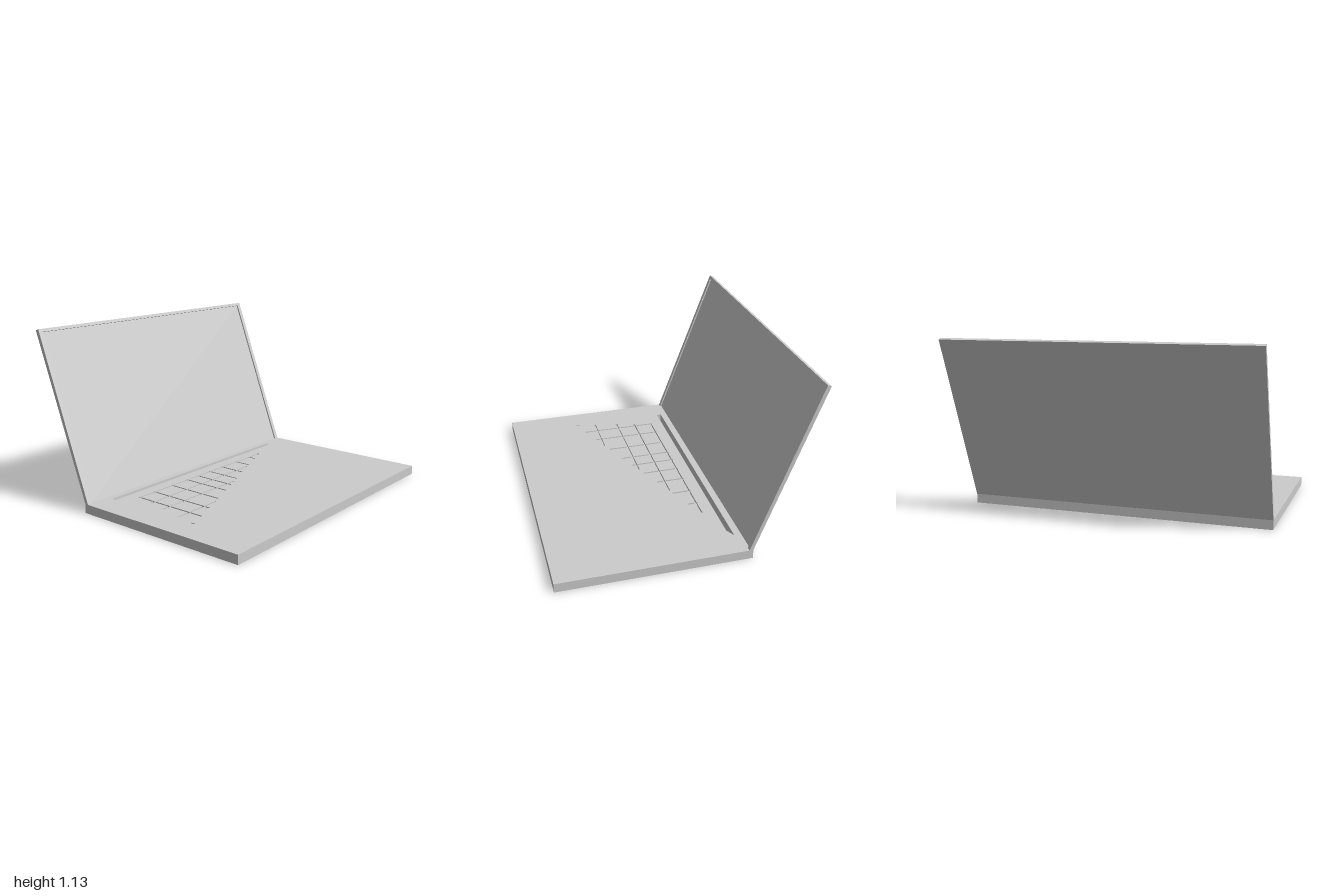
import * as THREE from 'three';

const material = new THREE.MeshStandardMaterial({ color: 0xcccccc, flatShading: true });
const H = 0.06; // base thickness

function part(name, geometry) {
  const mesh = new THREE.Mesh(geometry, material);
  mesh.name = name;
  return mesh;
}

// Collects four-cornered faces, corners counter-clockwise from outside
function quadBuilder() {
  const pos = [];
  return {
    quad(a, b, c, d) { pos.push(...a, ...b, ...c, ...a, ...c, ...d); },
    build() {
      const g = new THREE.BufferGeometry();
      g.setAttribute('position', new THREE.Float32BufferAttribute(pos, 3));
      g.computeVertexNormals();
      return g;
    },
  };
}

const rect = (x0, x1, z0, z1) => [[x0, z1], [x1, z1], [x1, z0], [x0, z0]];

// Flat plate in the x/z plane, facing up (+1) or down (-1)
function plate(outline, holes, y, facing) {
  const pts = (list) => list.map(([x, z]) => new THREE.Vector2(x, -z * facing));
  const shape = new THREE.Shape(pts(outline));
  holes.forEach((h) => shape.holes.push(new THREE.Path(pts(h))));
  return new THREE.ShapeGeometry(shape).rotateX(-facing * Math.PI / 2).translate(0, y, 0);
}

// Upright walls along a closed outline
function walls(b, outline) {
  outline.forEach(([x, z], i) => {
    const [u, w] = outline[(i + 1) % outline.length];
    b.quad([x, 0, z], [u, 0, w], [u, H, w], [x, H, z]);
  });
}

// Keyboard field: a stepped surface with thin crossing grooves
function keyboardField(x0, x1, z0, z1) {
  const w = 0.006, depth = 0.015;
  const columns = [[-0.235, -0.55, 0.705], [-0.107, -0.245, 0.73], [0.025, 0.07, 0.765], [0.19, 0.455, 0.8]];
  const rows = [[-0.535, -0.225], [-0.43, -0.18], [-0.28, -0.12], [-0.12, -0.055], [0.015, 0.005],
    [0.14, 0.06], [0.25, 0.105], [0.4, 0.165], [0.565, 0.235], [0.7, 0.29]];
  const grooves = [
    ...columns.map(([x, a, c]) => [x - w, x + w, a, c]),
    ...rows.map(([z, end]) => [-0.245, end, z - w, z + w]),
    [0.31, 0.34, 0.815, 0.825],
  ];
  const breaks = (list) => [...new Set(list)].sort((p, q) => p - q);
  const xs = breaks([x0, x1, ...grooves.flatMap((g) => [g[0], g[1]])]);
  const zs = breaks([z0, z1, ...grooves.flatMap((g) => [g[2], g[3]])]);
  const height = (i, j) => {
    const x = (xs[i] + xs[i + 1]) / 2, z = (zs[j] + zs[j + 1]) / 2;
    return grooves.some((g) => x > g[0] && x < g[1] && z > g[2] && z < g[3]) ? H - depth : H;
  };
  const b = quadBuilder();
  for (let i = 0; i < xs.length - 1; i++) {
    for (let j = 0; j < zs.length - 1; j++) {
      const [a, c, d, e] = [xs[i], xs[i + 1], zs[j], zs[j + 1]];
      const h = height(i, j);
      b.quad([a, h, e], [c, h, e], [c, h, d], [a, h, d]);
      if (i < xs.length - 2) {
        const k = height(i + 1, j);
        if (k !== h) b.quad([c, k, e], [c, k, d], [c, h, d], [c, h, e]);
      }
      if (j < zs.length - 2) {
        const k = height(i, j + 1);
        if (k !== h) b.quad([a, k, e], [c, k, e], [c, h, e], [a, h, e]);
      }
    }
  }
  return b.build();
}

// Leaning lid with a shallow screen recess open at the hinge
function lidAndScreen() {
  const backLow = [-0.415, H], frontLow = [-0.39, H];
  const backTop = [-0.812, 1.117], frontTop = [-0.788, 1.126];
  const rim = [-0.781, 1.107], floorTop = [-0.79, 1.1035], floorLow = [-0.4007, H];
  const Z = 1, S = 0.97;
  const at = ([x, y], z) => [x, y, z];
  const lid = quadBuilder(), screen = quadBuilder();
  // Strip between two profile points, from z = near to z = far
  const strip = (b, low, high, near, far) => b.quad(at(low, near), at(low, far), at(high, far), at(high, near));
  strip(lid, frontLow, frontTop, Z, S);
  strip(lid, frontLow, frontTop, -S, -Z);
  strip(lid, rim, frontTop, S, -S);
  strip(lid, floorTop, rim, S, -S);
  strip(lid, frontTop, backTop, Z, -Z);
  strip(lid, backTop, backLow, Z, -Z);
  // Outer ends and the inner ends of the recess
  lid.quad(at(backLow, Z), at(frontLow, Z), at(frontTop, Z), at(backTop, Z));
  lid.quad(at(frontLow, -Z), at(backLow, -Z), at(backTop, -Z), at(frontTop, -Z));
  lid.quad(at(floorLow, -S), at(frontLow, -S), at(rim, -S), at(floorTop, -S));
  lid.quad(at(frontLow, S), at(floorLow, S), at(floorTop, S), at(rim, S));
  strip(screen, floorLow, floorTop, S, -S);
  return [part('lid', lid.build()), part('screen', screen.build())];
}

export function createModel() {
  const model = new THREE.Group();
  model.name = 'laptop';

  const outline = rect(-0.415, 0.812, -1, 1);
  const slot = [[-0.355, 0.83], [-0.355, -0.83], [-0.322, -0.77], [-0.322, 0.83]];
  const field = [-0.28, 0.4, -0.6, 0.88];

  // Base: sides, slot walls, top and underside
  const base = new THREE.Group();
  base.name = 'base';
  const sides = quadBuilder(), slotWalls = quadBuilder();
  walls(sides, outline);
  walls(slotWalls, slot);
  base.add(
    part('baseSides', sides.build()),
    part('hingeSlot', slotWalls.build()),
    part('baseTop', plate(outline, [slot, rect(...field)], H, 1)),
    part('baseUnderside', plate(outline, [slot], 0, -1)),
    part('keyboardGrooves', keyboardField(...field)),
  );

  model.add(base, ...lidAndScreen());
  return model;
}
